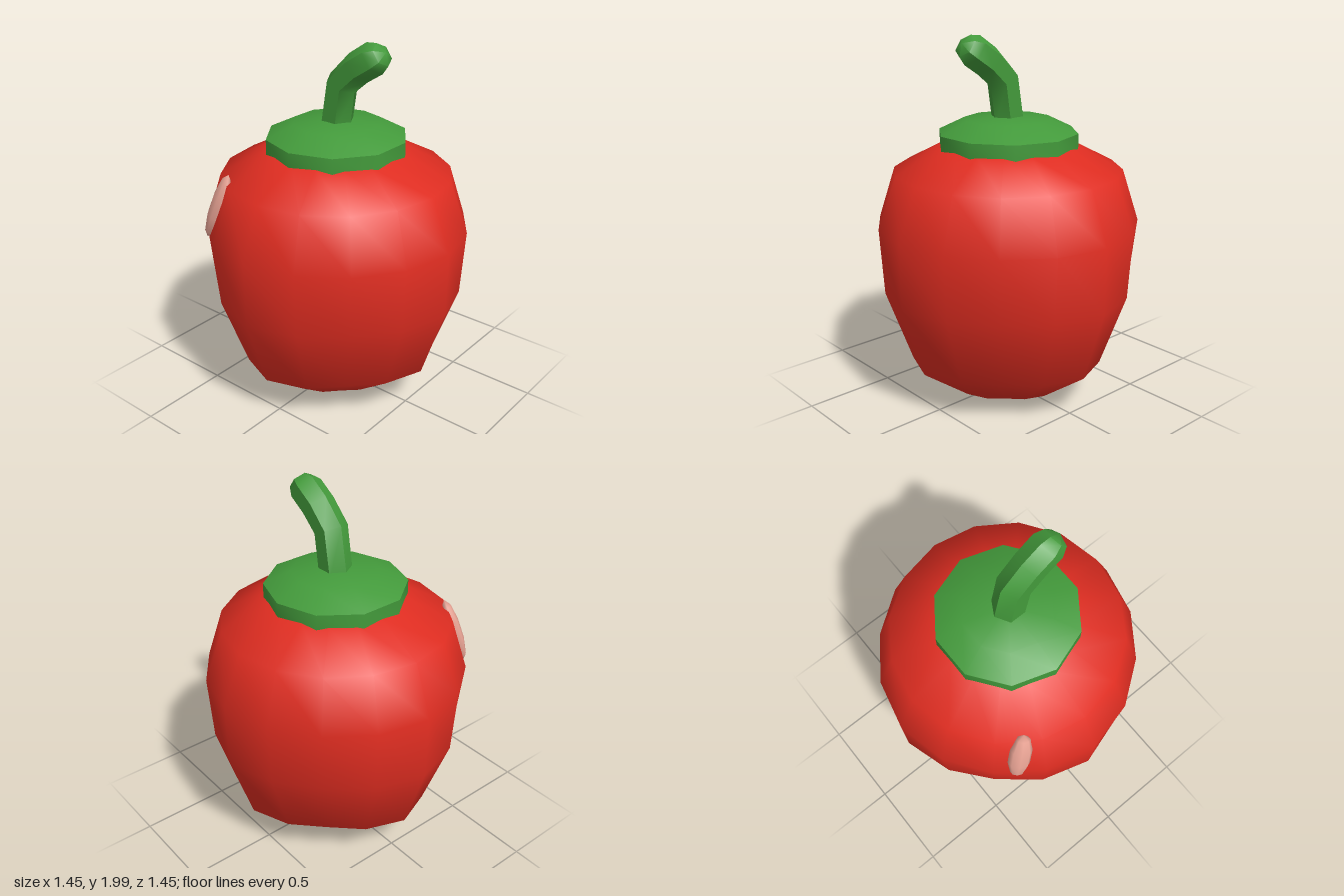
import * as THREE from 'three';
import { mergeVertices, toCreasedNormals } from 'three/addons/utils/BufferGeometryUtils.js';

const red = new THREE.MeshStandardMaterial({ name: 'skin red', color: 0xe02d21 });
const green = new THREE.MeshStandardMaterial({ name: 'stalk green', color: 0x439a3b });
const pink = new THREE.MeshStandardMaterial({ name: 'highlight pink', color: 0xe8a394 });

function part(name, geometry, material) {
  const mesh = new THREE.Mesh(geometry, material);
  mesh.name = name;
  return mesh;
}

// Turned shape from [radius, height] pairs, listed from the bottom up
function lathe(profile, sides) {
  return new THREE.LatheGeometry(profile.map(([r, y]) => new THREE.Vector2(r, y)), sides);
}

// Pinch the four diagonals, more strongly towards the base, to leave four lobes
function addLobes(geometry) {
  const position = geometry.attributes.position;
  for (let i = 0; i < position.count; i++) {
    const x = position.getX(i), y = position.getY(i), z = position.getZ(i);
    const depth = 0.082 * Math.max(0, 1 - y / 1.2);
    const k = 1 - depth * (1 - Math.cos(4 * Math.atan2(x, z)));
    position.setXYZ(i, x * k, y, z * k);
  }
  geometry.deleteAttribute('normal');
  geometry.deleteAttribute('uv');
  const merged = mergeVertices(geometry);
  merged.computeVertexNormals();
  return merged;
}

// Six-sided tube through rings of [x, y, radius, lean], lean being the tilt towards +x
function hexStem(rings) {
  const sides = 6, positions = [], index = [];
  for (const [x, y, r, lean] of rings) {
    for (let j = 0; j < sides; j++) {
      const a = (j / sides) * Math.PI * 2;
      const across = r * Math.cos(a);
      positions.push(x + across * Math.cos(lean), y - across * Math.sin(lean), r * Math.sin(a));
    }
  }
  for (let i = 0; i < rings.length - 1; i++) {
    for (let j = 0; j < sides; j++) {
      const a = i * sides + j, b = i * sides + ((j + 1) % sides);
      index.push(a, a + sides, b, b, a + sides, b + sides);
    }
  }
  const geometry = new THREE.BufferGeometry();
  geometry.setAttribute('position', new THREE.Float32BufferAttribute(positions, 3));
  geometry.setIndex(index);
  return toCreasedNormals(geometry, 0.9);
}

export function createModel() {
  const group = new THREE.Group();
  group.name = 'pepper';

  // Rounded fruit, narrowing to a four-lobed base
  group.add(part('body', addLobes(lathe([
    [0, 0.005], [0.3, 0.027], [0.593, 0.245], [0.723, 0.645],
    [0.727, 1.0], [0.618, 1.278], [0.36, 1.412], [0, 1.44],
  ], 16)), red));

  // Ten-sided cap with a sharp rim
  group.add(part('cap', toCreasedNormals(lathe([
    [0, 1.36], [0.379, 1.38], [0.379, 1.48], [0.235, 1.55], [0, 1.572],
  ], 10), 0.75), green));

  // Bent stem with a rounded end
  group.add(part('stem', hexStem([
    [0, 1.53, 0.088, 0.1],
    [0.038, 1.762, 0.088, 0.45],
    [0.14, 1.858, 0.088, 0.85],
    [0.24, 1.922, 0.088, 0.95],
    [0.286, 1.946, 0.064, 0.95],
    [0.308, 1.96, 0, 0.95],
  ]), green));

  // Slim highlight lying along the shoulder
  const highlight = part('highlight', new THREE.SphereGeometry(1, 8, 5), pink);
  const along = new THREE.Vector3(0.1, 0.33, -0.07).normalize();
  const outward = new THREE.Vector3(-0.51, 0.33, 0.78);
  const side = new THREE.Vector3().crossVectors(along, outward).normalize();
  outward.crossVectors(side, along);
  highlight.quaternion.setFromRotationMatrix(new THREE.Matrix4().makeBasis(side, along, outward));
  highlight.scale.set(0.062, 0.188, 0.042);
  highlight.position.set(-0.358, 1.15, 0.541);
  group.add(highlight);

  return group;
}
